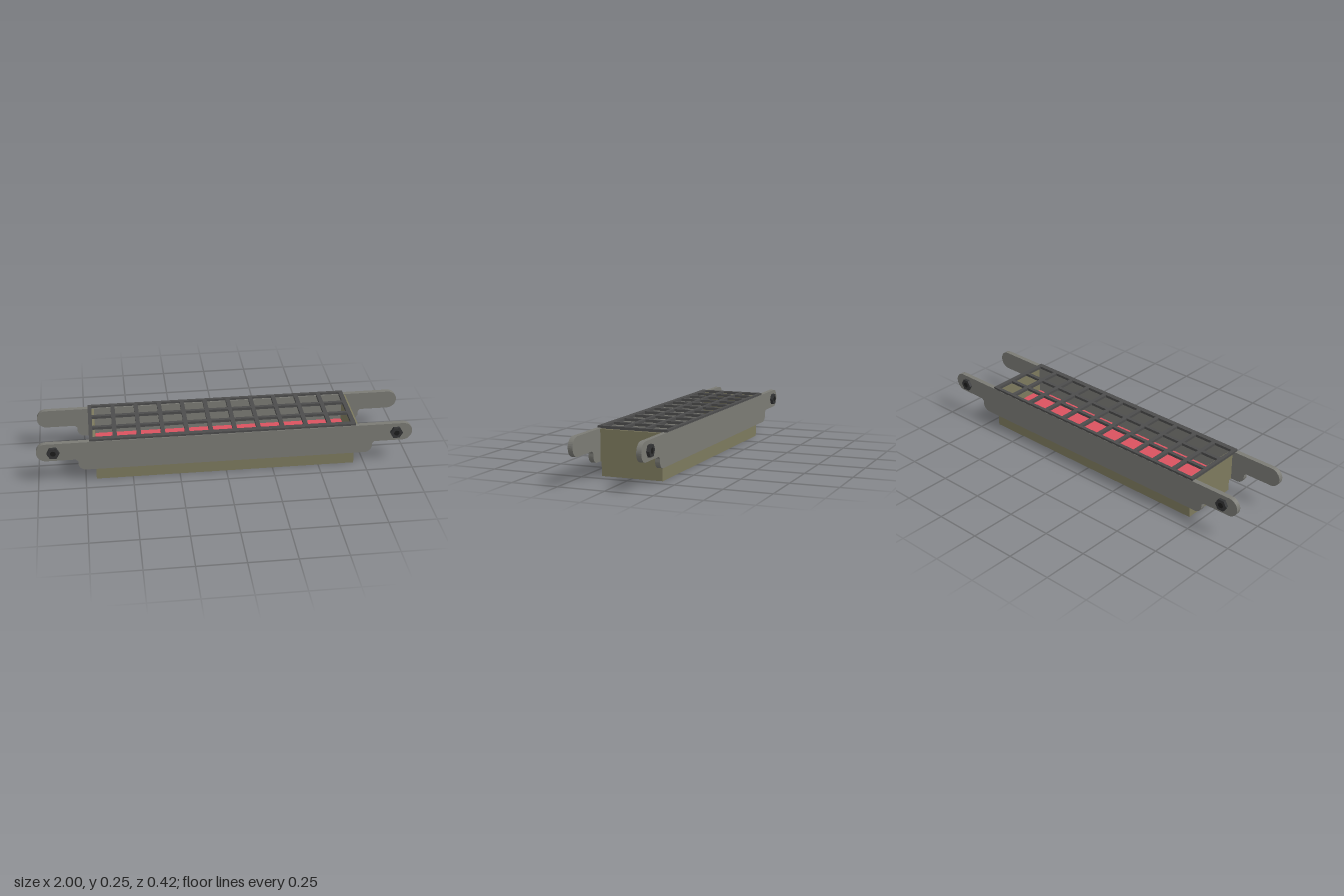
import * as THREE from 'three';

const mat = (color) => new THREE.MeshStandardMaterial({ color, flatShading: true });
const plateMat = mat(0x7b7b75);
const boardMat = mat(0x7d7a5e);
const gridMat = mat(0x4c4c4c);
const panelMat = mat(0xd9525f);
const boltMat = mat(0x333435);
const socketMat = mat(0x1c1c1c);

function add(parent, name, geometry, material, x = 0, y = 0, z = 0) {
  const mesh = new THREE.Mesh(geometry, material);
  mesh.name = name;
  mesh.position.set(x, y, z);
  parent.add(mesh);
  return mesh;
}

// Side plate outline: deep middle with rounded corners, round-ended tabs
function plateGeometry(depth) {
  const top = 0.243, tab = 0.142, low = 0.077, wide = 0.785;
  const r = (top - tab) / 2, c = 0.04, f = 0.012;
  const s = new THREE.Shape();
  s.moveTo(-wide + c, low);
  s.lineTo(wide - c, low);
  s.absarc(wide - c, low + c, c, -Math.PI / 2, 0, false);
  s.lineTo(wide, tab - f);
  s.lineTo(wide + f, tab);
  s.lineTo(1 - r, tab);
  s.absarc(1 - r, tab + r, r, -Math.PI / 2, Math.PI / 2, false);
  s.lineTo(-1 + r, top);
  s.absarc(-1 + r, tab + r, r, Math.PI / 2, Math.PI * 1.5, false);
  s.lineTo(-wide - f, tab);
  s.lineTo(-wide, tab - f);
  s.lineTo(-wide, low + c);
  s.absarc(-wide + c, low + c, c, Math.PI, Math.PI * 1.5, false);
  return new THREE.ExtrudeGeometry(s, { depth, bevelEnabled: false, curveSegments: 8 });
}

function rectangle(path, x0, y0, x1, y1) {
  path.moveTo(x0, y0);
  path.lineTo(x1, y0);
  path.lineTo(x1, y1);
  path.lineTo(x0, y1);
  path.closePath();
  return path;
}

// Grating: 11 by 3 openings, laid flat (shape y becomes -z)
function gratingGeometry(depth) {
  const s = rectangle(new THREE.Shape(), -0.722, -0.186, 0.692, 0.19);
  for (let i = 0; i < 11; i++) {
    for (let j = 0; j < 3; j++) {
      const x = -0.702 + i * 0.1266, y = -0.158 + j * 0.1165;
      s.holes.push(rectangle(new THREE.Path(), x, y, x + 0.104, y + 0.097));
    }
  }
  const g = new THREE.ExtrudeGeometry(s, { depth, bevelEnabled: false });
  return g.rotateX(-Math.PI / 2);
}

export function createModel() {
  const model = new THREE.Group();
  model.name = 'gratedTray';

  // Base block, coloured floor and the two end boards
  add(model, 'base', new THREE.BoxGeometry(1.388, 0.077, 0.33), boardMat, 0, 0.0385, 0);
  add(model, 'floorPanel', new THREE.BoxGeometry(1.38, 0.012, 0.33), panelMat, 0, 0.083, 0);
  for (const side of [-1, 1]) {
    add(model, side > 0 ? 'leftEndBoard' : 'rightEndBoard',
      new THREE.BoxGeometry(0.018, 0.163, 0.33), boardMat, side * 0.697, 0.1585, 0);
  }

  // Grating over the tray
  add(model, 'grating', gratingGeometry(0.014), gridMat, 0, 0.24, 0);

  // Side plates with a hexagonal bolt at each end
  for (const side of [1, -1]) {
    const rail = new THREE.Group();
    rail.name = side > 0 ? 'frontRail' : 'backRail';
    if (side < 0) rail.rotation.y = Math.PI;
    add(rail, 'sidePlate', plateGeometry(0.026), plateMat, 0, 0, 0.165);
    for (const x of [-0.912, 0.912]) {
      const head = new THREE.CylinderGeometry(0.034, 0.034, 0.017, 6).rotateX(Math.PI / 2).rotateZ(Math.PI / 6);
      add(rail, 'boltHead', head, boltMat, x, 0.193, 0.1985);
      const socket = new THREE.CylinderGeometry(0.015, 0.015, 0.002, 12).rotateX(Math.PI / 2);
      add(rail, 'boltCentre', socket, socketMat, x, 0.193, 0.207);
    }
    model.add(rail);
  }
  return model;
}
